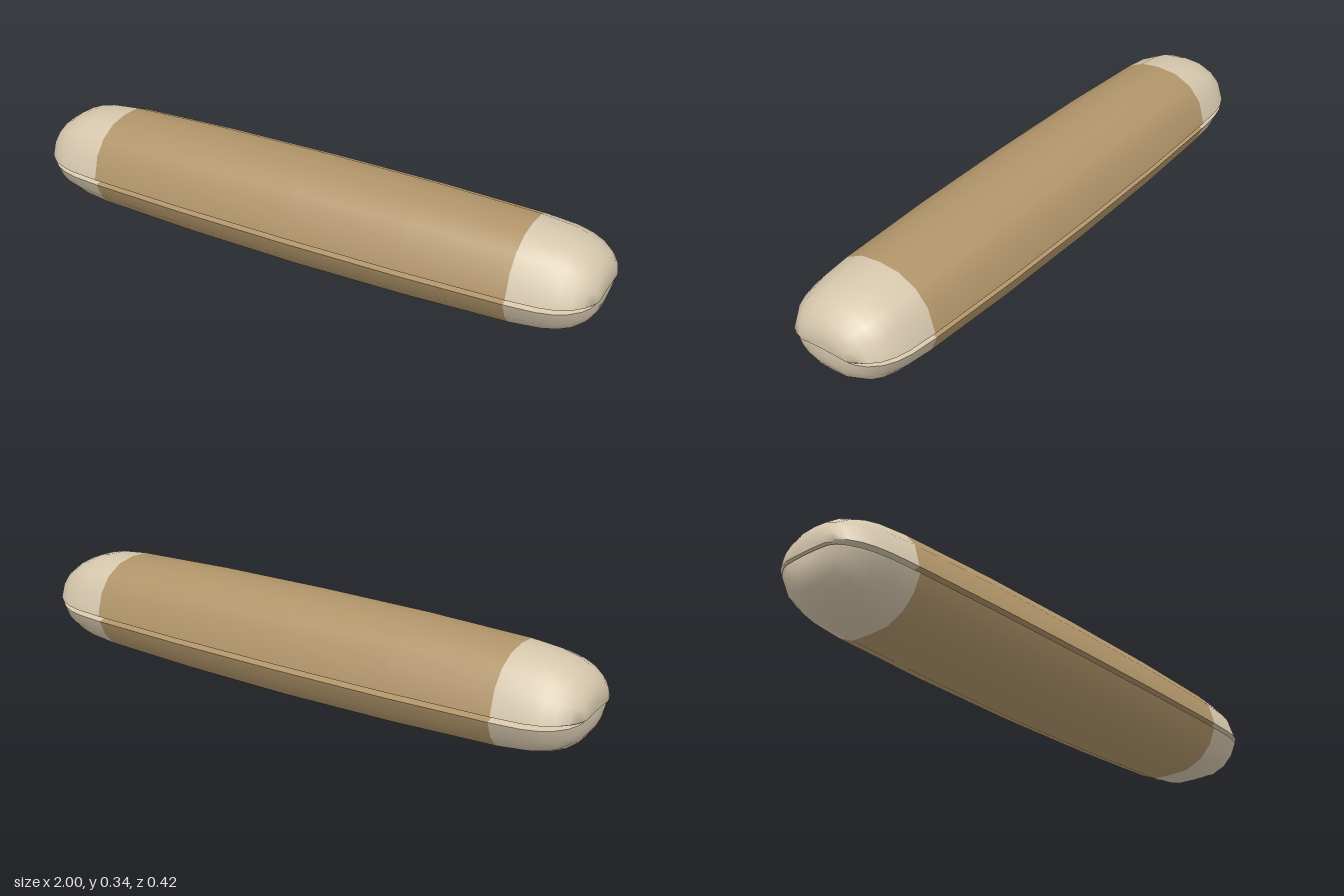
import * as THREE from 'three';
import { toCreasedNormals } from 'three/addons/utils/BufferGeometryUtils.js';

// Stations along one half of the length: x, half width, top height, bottom height
const STATIONS = [
  [0, 0.210, 0.344, 0.000], [0.4, 0.207, 0.341, 0.005], [0.75, 0.197, 0.331, 0.016],
  [0.85, 0.190, 0.321, 0.027], [0.90, 0.180, 0.309, 0.038], [0.94, 0.164, 0.292, 0.054],
  [0.975, 0.137, 0.267, 0.080], [0.993, 0.110, 0.240, 0.108], [1.0, 0.088, 0.218, 0.135],
];
const PATH = [...STATIONS.slice(1).reverse().map(([x, ...r]) => [-x, ...r]), ...STATIONS];

// Lofts one half: side is 1 for the upper half and -1 for the lower half.
function loftHalf(side, arc, inner, length) {
  const positions = [], indices = [];
  const rings = PATH.map(([x, w, top, bottom]) => {
    const apex = side > 0 ? top : bottom;
    const rim = inner(w) + side * 0.007 * (side > 0 ? 1 : 0);
    const outside = arc.map(([z, h]) => [z * w, rim + h * (apex - rim)]);
    const mirrored = outside.slice(0, -1).reverse().map(([z, y]) => [-z, y]);
    // Gently arched face where the halves meet
    const face = [-0.91, -0.6, -0.3, 0, 0.3, 0.6, 0.91].map((f) => [f * w, inner(f * w)]);
    return [...outside, ...mirrored, ...face].map(([z, y]) => [x * length, y, z * side]);
  });
  const n = rings[0].length;
  rings.forEach((ring) => ring.forEach((p) => positions.push(...p)));

  const cap = (i, flip) => {
    const c = positions.length / 3, ring = rings[i];
    positions.push(ring[0][0], (ring[4][1] + ring[12][1]) / 2, 0);
    for (let j = 0; j < n; j++) {
      const a = i * n + j, b = i * n + (j + 1) % n;
      indices.push(c, ...(flip ? [b, a] : [a, b]));
    }
  };

  const geometry = new THREE.BufferGeometry();
  let start = 0, current = 1;
  const closeGroup = () => {
    geometry.addGroup(start, indices.length - start, current);
    start = indices.length;
  };
  cap(0, false);
  for (let i = 0; i < rings.length - 1; i++) {
    // Pale tips beyond x = 0.75, tan between them
    const middle = Math.abs(PATH[i][0] + PATH[i + 1][0]) / 2 < 0.75;
    const material = middle ? 0 : 1;
    if (material !== current) {
      closeGroup();
      current = material;
    }
    for (let j = 0; j < n; j++) {
      const k = (j + 1) % n;
      const a = i * n + j, b = i * n + k, c = b + n, d = a + n;
      indices.push(a, d, b, b, d, c);
    }
  }
  cap(rings.length - 1, true);
  closeGroup();

  geometry.setAttribute('position', new THREE.Float32BufferAttribute(positions, 3));
  geometry.setIndex(indices);
  return toCreasedNormals(geometry, 1.1);
}

export function createModel() {
  const group = new THREE.Group();
  group.name = 'splitRoll';
  const crust = new THREE.MeshStandardMaterial({ name: 'tanCrust', color: 0xb1956a });
  const tip = new THREE.MeshStandardMaterial({ name: 'paleTip', color: 0xd6c7ad });

  // Domed upper half
  const upper = new THREE.Mesh(
    loftHalf(1, [[1, 0], [0.88, 0.48], [0.67, 0.773], [0.36, 0.956], [0, 1]],
      (z) => 0.177 - 0.5 * z * z, 1),
    [crust, tip]);
  upper.name = 'upperHalf';

  // Shallower, slightly shorter lower half
  const lower = new THREE.Mesh(
    loftHalf(-1, [[1, 0], [0.88, 0.43], [0.67, 0.775], [0.36, 0.98], [0, 1]],
      (z) => 0.172 - 0.65 * z * z, 0.993),
    [crust, tip]);
  lower.name = 'lowerHalf';

  group.add(upper, lower);
  return group;
}
